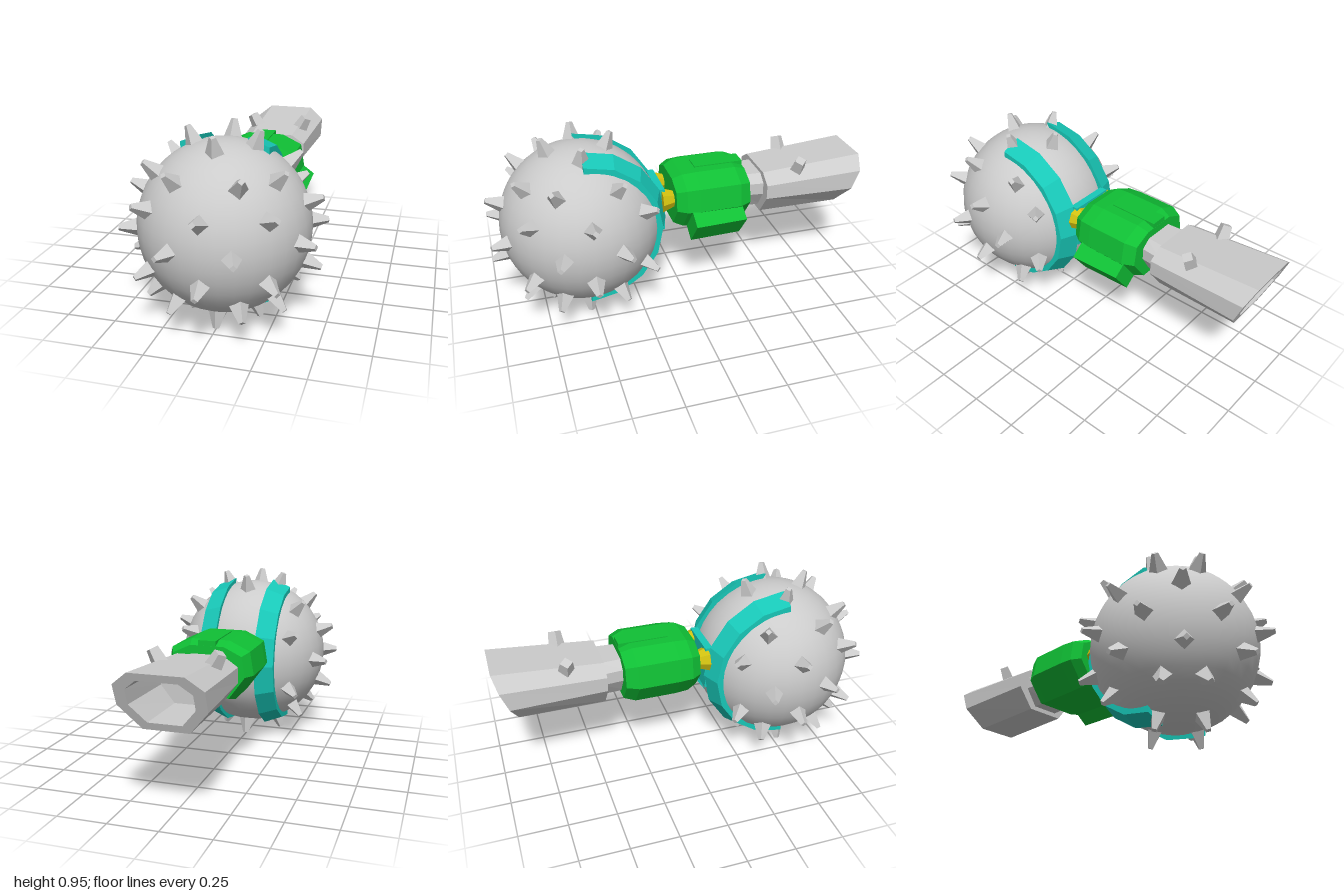
import * as THREE from 'three';

const grey = new THREE.MeshStandardMaterial({ color: 0xcccccc });
const flat = (color) => new THREE.MeshStandardMaterial({ color, flatShading: true });
const greyFlat = flat(0xcccccc);
const green = flat(0x10c035);
const teal = flat(0x18c8b8);
const yellow = flat(0xd0c010);

const BALL = new THREE.Vector3(0, 0.475, 0.525);

// Closed solid from rings of points, counter-clockwise seen from +z, running towards -z
function loft(rings) {
  const pos = [];
  const n = rings[0].length;
  const tri = (...pts) => pts.forEach((p) => pos.push(...p));
  for (let i = 0; i < rings.length - 1; i++) {
    for (let j = 0; j < n; j++) {
      const k = (j + 1) % n;
      const [a, b, c, d] = [rings[i][j], rings[i][k], rings[i + 1][j], rings[i + 1][k]];
      tri(a, c, b);
      tri(b, c, d);
    }
  }
  const first = rings[0], last = rings[rings.length - 1];
  for (let j = 1; j < n - 1; j++) {
    tri(first[0], first[j], first[j + 1]);
    tri(last[0], last[j + 1], last[j]);
  }
  const geo = new THREE.BufferGeometry();
  geo.setAttribute('position', new THREE.Float32BufferAttribute(pos, 3));
  geo.computeVertexNormals();
  return geo;
}

// Mirrors a right half-profile (bottom to top) into a closed outline
const outline = (half) => [...half, ...half.map(([x, y]) => [-x, y]).reverse()];

export function createModel() {
  const model = new THREE.Group();
  const add = (name, geo, mat, x = 0, y = 0, z = 0) => {
    const mesh = new THREE.Mesh(geo, mat);
    mesh.name = name;
    mesh.position.set(x, y, z);
    model.add(mesh);
    return mesh;
  };

  // Ball
  add('ball', new THREE.SphereGeometry(0.42, 32, 20), grey, ...BALL.toArray());

  // Spikes: four round each axis and three round each corner, none behind the straps
  const spikeGeo = new THREE.CylinderGeometry(0.016, 0.058, 0.125, 4);
  spikeGeo.rotateX(Math.PI / 2);
  const directions = [];
  const signs = [-1, 1];
  for (let axis = 0; axis < 3; axis++) {
    for (const s of signs) for (const t of signs) {
      for (const other of [1, 2]) {
        const v = [0, 0, 0];
        v[axis] = 0.47 * s;
        v[(axis + other) % 3] = 0.175 * t;
        directions.push(v);
      }
      for (const u of signs) {
        const v = [0.335 * s, 0.335 * s, 0.335 * s];
        v[axis] = 0.175 * s;
        v[(axis + 1) % 3] = 0.335 * t;
        v[(axis + 2) % 3] = 0.335 * u;
        directions.push(v);
      }
    }
  }
  for (const v of directions) {
    const underStrap = v[2] < -0.4 || (v[2] < -0.3 && Math.abs(v[0]) < 0.2);
    if (underStrap) continue;
    const dir = new THREE.Vector3(...v).normalize();
    const spike = add('spike', spikeGeo, greyFlat);
    spike.position.copy(BALL).addScaledVector(dir, 0.441);
    spike.lookAt(spike.position.clone().add(dir));
  }

  // Two curved straps round the back of the ball
  const strapSection = [[0.115, 0.38], [0.215, 0.34], [0.215, 0.392], [0.115, 0.432]];
  for (const side of signs) {
    const rings = [];
    for (let i = 0; i <= 8; i++) {
      const a = (i / 8) * Math.PI;
      const ring = strapSection.map(([x, r]) =>
        [x * side, BALL.y + r * Math.cos(a), BALL.z - r * Math.sin(a)]);
      rings.push(side > 0 ? ring : ring.reverse());
    }
    add('strap', loft(rings), teal);
  }
  add('strapBridge', new THREE.BoxGeometry(0.24, 0.24, 0.04), teal, 0, 0.52, 0.118);

  // Mounts between the straps and the grip
  const mountGeo = new THREE.CylinderGeometry(0.036, 0.068, 0.09, 8);
  mountGeo.rotateX(-Math.PI / 2);
  for (const side of signs) add('mount', mountGeo, yellow, side * 0.1, 0.57, 0.07);

  // Grip body: faceted block with chamfered ends
  const gripOutline = outline([[0.13, 0.405], [0.225, 0.535], [0.205, 0.655], [0.1, 0.705]]);
  const gripRings = [[0.05, 0.83], [0, 0.97], [-0.07, 1], [-0.29, 1], [-0.35, 0.87]];
  add('grip', loft(gripRings.map(([z, s]) =>
    gripOutline.map(([x, y]) => [x * s, 0.54 + (y - 0.54) * s, z]))), green);
  add('gripTopPanel', new THREE.BoxGeometry(0.09, 0.05, 0.265), green, 0, 0.685, -0.217);

  // Block on the lower left face of the grip
  const block = add('sideBlock', new THREE.BoxGeometry(0.12, 0.16, 0.275), green, 0.19, 0.457, -0.16);
  block.rotation.set(0, 0.04, -0.64);

  // Neck
  const barrelOutline = outline([[0.105, 0.42], [0.19, 0.535], [0.19, 0.612], [0.12, 0.66]]);
  add('neck', loft([[-0.33, 0.66], [-0.46, 0.72]].map(([z, s]) =>
    barrelOutline.map(([x, y]) => [x * s, 0.555 + (y - 0.555) * 0.82, z]))), greyFlat);

  // Barrel: flares to a hollow, slanted mouth
  const mouthOutline = outline([[0.11, 0.42], [0.21, 0.535], [0.21, 0.637], [0.13, 0.7]]);
  const slant = (y) => -1 + (0.7 - y) * 0.39;
  const inner = mouthOutline.map(([x, y]) => [x * 0.74, 0.56 + (y - 0.56) * 0.74]);
  add('barrel', loft([
    barrelOutline.map(([x, y]) => [x, y, -0.445]),
    mouthOutline.map(([x, y]) => [x, y, slant(y)]),
    inner.map(([x, y]) => [x, y, slant(y)]),
    inner.map(([x, y]) => [x * 0.92, y, -0.6]),
  ]), greyFlat);

  // Studs on the upper shoulders of the barrel
  const studGeo = new THREE.CylinderGeometry(0.032, 0.048, 0.11, 4);
  for (const side of signs) {
    add('barrelStud', studGeo, greyFlat, side * 0.14, 0.675, -0.637).rotation.z = -side * 0.5;
  }

  return model;
}
